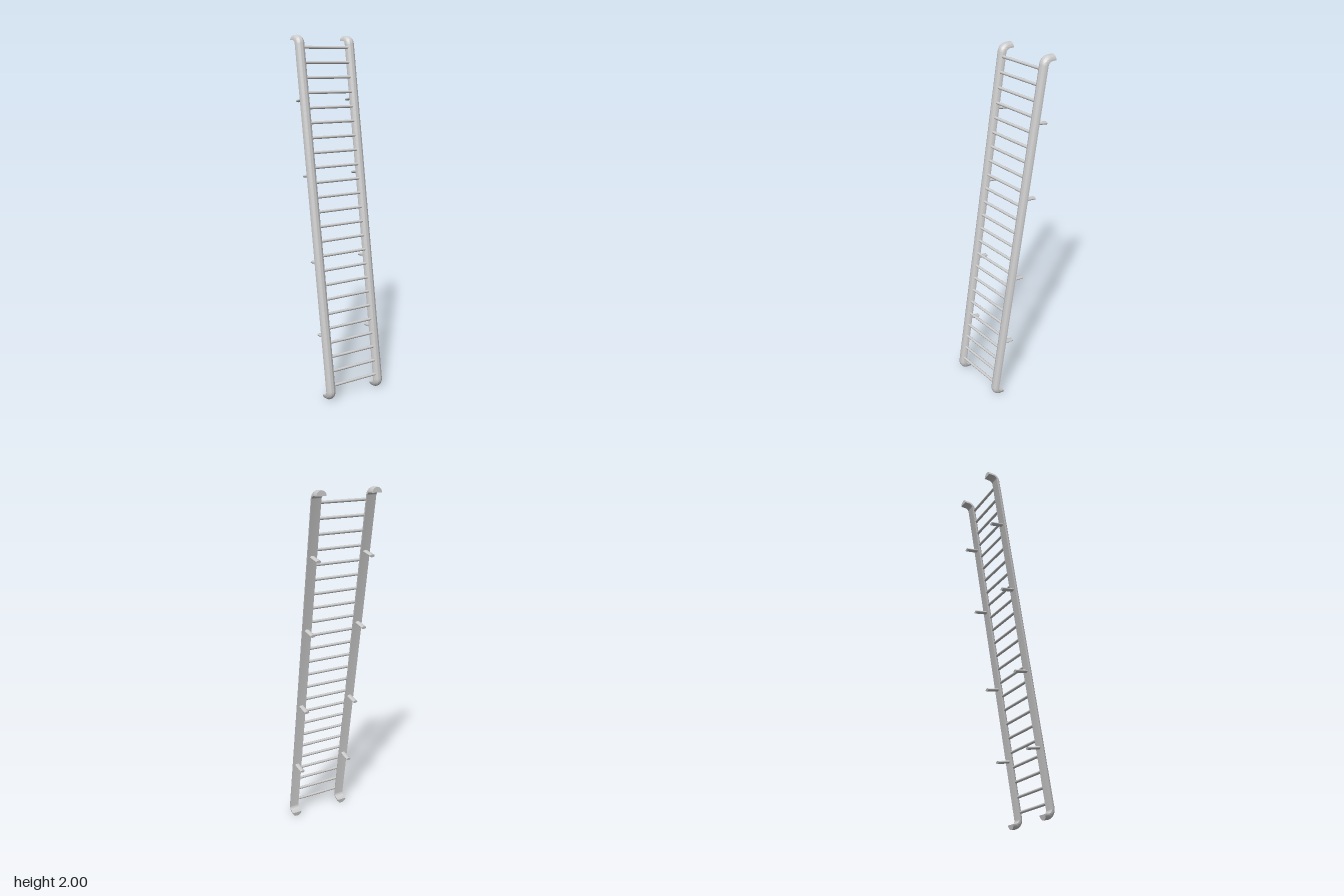
import * as THREE from 'three';
import { toCreasedNormals } from 'three/addons/utils/BufferGeometryUtils.js';

const RAIL_X = 0.158, RAIL_R = 0.028;
const backZ = (y) => 0.182 - 0.169 * y; // flat back of the leaning rails
const lean = Math.atan(0.169);

// Path in (z, y) with both hooks rounded off
function railPath() {
  const corners = [[0.133, 0.027], [backZ(0.0343), 0.0343], [backZ(1.972), 1.972], [-0.2, 1.972]]
    .map(([z, y]) => new THREE.Vector2(z, y));
  const r = 0.025, path = [];
  const add = (p, dir) => path.push({ p, n: new THREE.Vector2(dir.y, -dir.x).negate() });
  const dirs = [0, 1, 2].map((i) => corners[i + 1].clone().sub(corners[i]).normalize());
  add(corners[0], dirs[0]);
  for (const i of [1, 2]) {
    const a = dirs[i - 1], b = dirs[i];
    const turn = a.clone().cross(b), angle = Math.acos(a.dot(b));
    const start = corners[i].clone().addScaledVector(a, -r * Math.tan(angle / 2));
    const sign = Math.sign(turn), side = new THREE.Vector2(-a.y, a.x).multiplyScalar(sign);
    const centre = start.clone().addScaledVector(side, r);
    for (let k = 0; k <= 8; k++) {
      const t = sign * angle * k / 8;
      add(start.clone().rotateAround(centre, t), a.clone().rotateAround(new THREE.Vector2(), t));
    }
  }
  add(corners[3], dirs[2]);
  // Make the normals point to the convex outer side (+z along the straight run)
  const flip = path[9].n.x < 0 ? -1 : 1;
  path.forEach((s) => s.n.multiplyScalar(flip));
  return path;
}

// Half-round section swept along the path
function railGeometry() {
  const path = railPath(), N = 16, pos = [], idx = [];
  for (const { p, n } of path) {
    for (let j = 0; j <= N; j++) {
      const t = Math.PI * j / N, out = RAIL_R * Math.sin(t);
      pos.push(RAIL_R * Math.cos(t), p.y + n.y * out, p.x + n.x * out);
    }
  }
  const M = N + 1;
  for (let i = 0; i < path.length - 1; i++) {
    for (let j = 0; j < M; j++) {
      const a = i * M + j, b = i * M + (j + 1) % M;
      idx.push(a, a + M, b, b, a + M, b + M);
    }
  }
  const top = (path.length - 1) * M;
  for (let j = 1; j < N; j++) {
    idx.push(0, j, j + 1, top, top + j + 1, top + j);
  }
  const g = new THREE.BufferGeometry();
  g.setAttribute('position', new THREE.Float32BufferAttribute(pos, 3));
  g.setIndex(idx);
  return toCreasedNormals(g, 0.6);
}

export function createModel() {
  const model = new THREE.Group();
  model.name = 'ladder';
  const mat = new THREE.MeshStandardMaterial({ color: 0xcccccc, side: THREE.DoubleSide });
  const add = (geo, name, x, y, z) => {
    const m = new THREE.Mesh(geo, mat);
    m.name = name;
    m.position.set(x, y, z);
    model.add(m);
    return m;
  };

  // Side rails and their rear wall brackets
  const rail = railGeometry();
  const bracket = new THREE.CylinderGeometry(0.008, 0.008, 0.085, 16);
  bracket.scale(1.8, 1, 1);
  bracket.rotateX(Math.PI / 2 - lean);
  for (const [side, s] of [['left', 1], ['right', -1]]) {
    add(rail, side + 'Rail', s * RAIL_X, 0, 0);
    for (const y of [0.36, 0.77, 1.245, 1.655]) {
      add(bracket, side + 'Bracket', s * RAIL_X, y, backZ(y) - 0.028);
    }
  }

  // Rungs
  const rung = new THREE.CylinderGeometry(0.008, 0.008, 0.29, 12);
  rung.rotateZ(Math.PI / 2);
  for (let i = 0; i < 24; i++) {
    const y = 0.092 + i * 0.0801;
    add(rung, 'rung', 0, y, backZ(y) + 0.0135);
  }
  return model;
}
